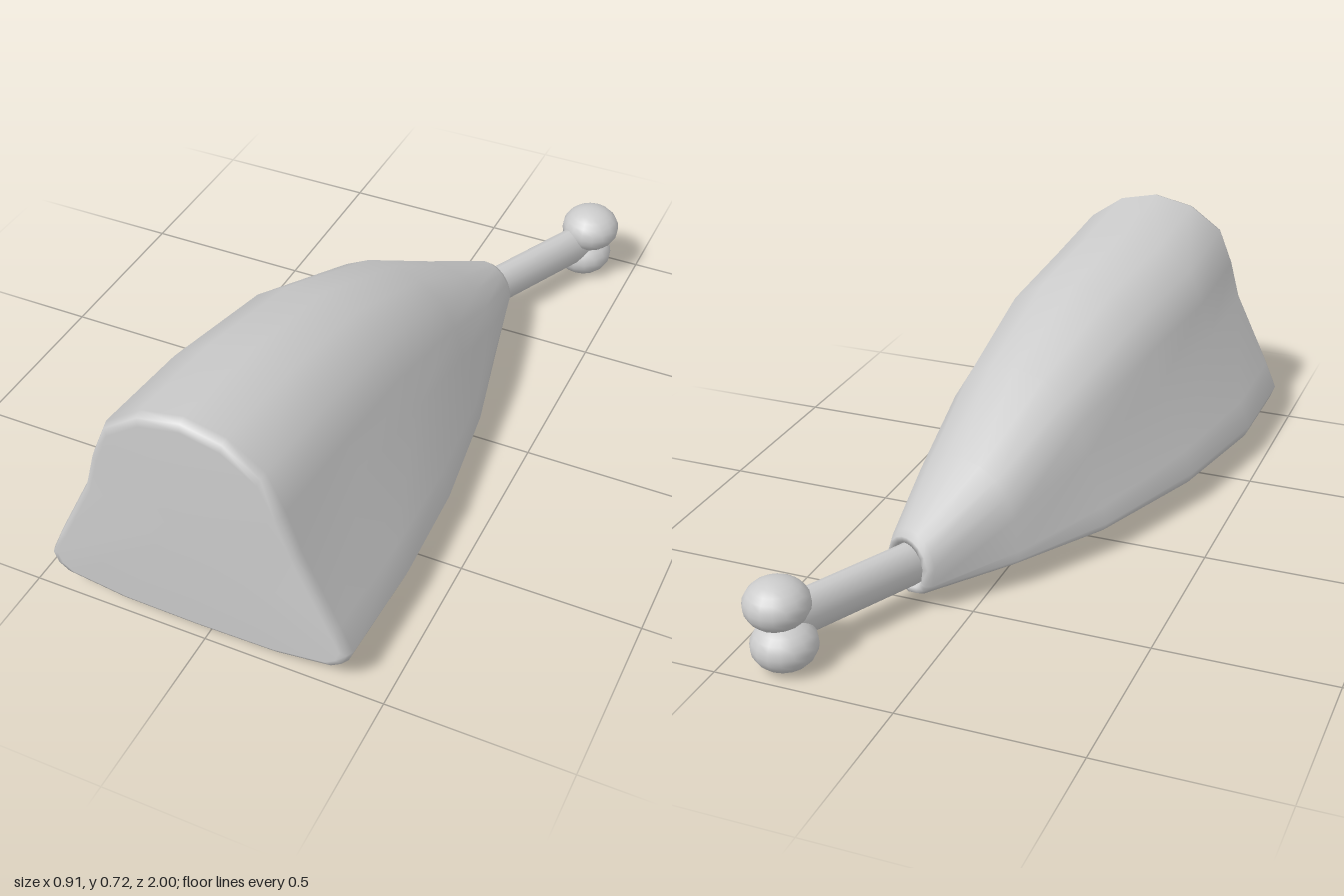
import * as THREE from 'three';

const material = new THREE.MeshStandardMaterial({ color: 0xcccccc });

// Bell-shaped cross-section: u spans -1..1 across, v spans 0..1 upwards
const bell = [
  [-1, 0.12], [-0.92, 0.235], [-0.68, 0.545], [-0.61, 0.71], [-0.51, 0.863], [-0.28, 0.964],
  [0, 1], [0.26, 0.964], [0.49, 0.863], [0.6, 0.71], [0.69, 0.545], [0.92, 0.235],
  [1, 0.12], [0.97, 0.07], [0.9, 0.04], [0.54, 0.006], [0, 0], [-0.51, 0.006], [-0.9, 0.04], [-0.97, 0.07],
];

// Stations from the cut face to the bone: left x, z, right x, z, bottom, top, roundness
const stations = [
  [-0.425, 1, 0.38, 1, 0.05, 0.695, 0],
  [-0.445, 0.992, 0.396, 0.992, 0.036, 0.715, 0],
  [-0.455, 0.97, 0.405, 0.97, 0.03, 0.722, 0],
  [-0.45, 0.66, 0.415, 0.66, 0.027, 0.688, 0],
  [-0.38, 0.29, 0.41, 0.36, 0.026, 0.645, 0.08],
  [-0.245, -0.08, 0.37, 0.02, 0.03, 0.51, 0.22],
  [-0.09, -0.35, 0.315, -0.24, 0.04, 0.345, 0.5],
  [0.085, -0.55, 0.25, -0.485, 0.036, 0.225, 1],
  [0.1, -0.565, 0.245, -0.505, 0.046, 0.21, 1],
  [0.118, -0.558, 0.228, -0.508, 0.062, 0.192, 1],
  [0.118, -0.52, 0.215, -0.475, 0.068, 0.186, 1],
];

function meatGeometry() {
  const n = bell.length, pos = [], index = [];
  const lerp = THREE.MathUtils.lerp;
  const centre = ([lx, lz, rx, rz, b, t]) => pos.push((lx + rx) / 2, (b + t) / 2, (lz + rz) / 2);
  for (const [lx, lz, rx, rz, b, t, round] of stations) {
    for (const [u, v] of bell) {
      const a = Math.atan2(2 * v - 1, u);
      const s = (lerp(u, Math.cos(a), round) + 1) / 2;
      const h = lerp(v, (Math.sin(a) + 1) / 2, round);
      pos.push(lerp(lx, rx, s), lerp(b, t, h), lerp(lz, rz, s));
    }
  }
  const last = stations.length - 1, front = stations.length * n;
  centre(stations[0]);
  centre(stations[last]);
  for (let j = 0; j < n; j++) {
    const k = (j + 1) % n;
    for (let i = 0; i < last; i++) {
      const a = i * n + j, b = i * n + k;
      index.push(a, b, a + n, b, b + n, a + n);
    }
    index.push(front, k, j, front + 1, last * n + j, last * n + k);
  }
  const g = new THREE.BufferGeometry();
  g.setAttribute('position', new THREE.Float32BufferAttribute(pos, 3));
  g.setIndex(index);
  g.computeVertexNormals();
  return g;
}

export function createModel() {
  const group = new THREE.Group();
  const add = (name, geometry, parent = group) => {
    const mesh = new THREE.Mesh(geometry, material);
    mesh.name = name;
    parent.add(mesh);
    return mesh;
  };

  add('meat', meatGeometry());

  // Bone: oval shaft with two stacked knuckles at its end
  const bone = new THREE.Group();
  bone.name = 'bone';
  group.add(bone);
  const start = new THREE.Vector3(0.15, 0.126, -0.48), end = new THREE.Vector3(0.352, 0.126, -0.9);
  const dir = end.clone().sub(start);
  const shaft = new THREE.CylinderGeometry(1, 1, dir.length(), 16);
  shaft.rotateX(Math.PI / 2).scale(0.045, 0.064, 1);
  const shaftMesh = add('boneShaft', shaft, bone);
  shaftMesh.position.copy(start).add(end).multiplyScalar(0.5);
  shaftMesh.rotation.y = Math.atan2(dir.x, dir.z);

  for (const [name, x, y, z] of [['upperKnuckle', 0.363, 0.177, -0.9], ['lowerKnuckle', 0.342, 0.07, -0.912]]) {
    const knuckle = add(name, new THREE.SphereGeometry(0.089, 16, 12), bone);
    knuckle.position.set(x, y, z);
    knuckle.scale.y = 0.78;
  }
  return group;
}
